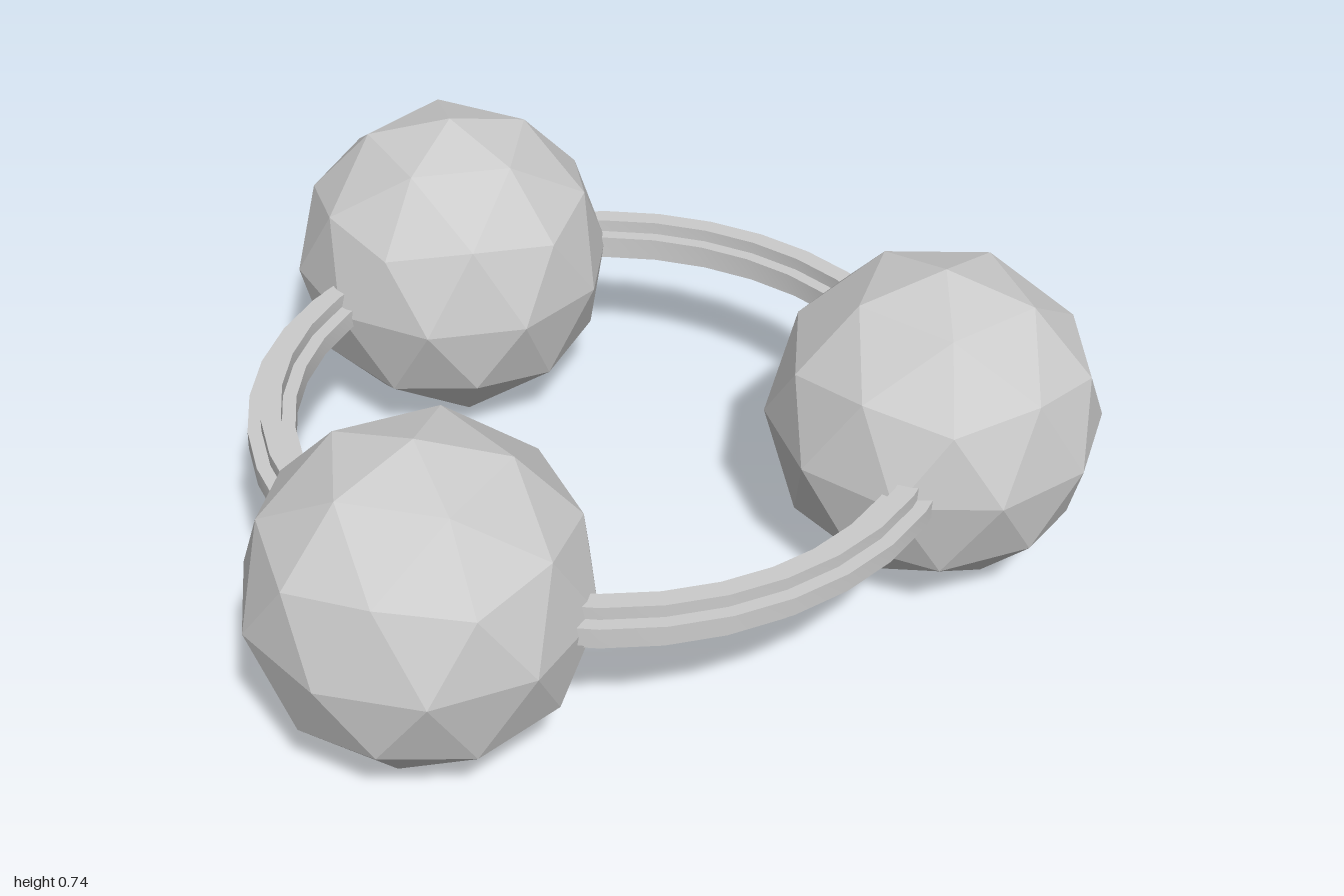
import * as THREE from 'three';
import { toCreasedNormals } from 'three/addons/utils/BufferGeometryUtils.js';

const BALL_RADIUS = 0.372;
const RING_RADIUS = 0.728;
const RING_Z = 0.155;

export function createModel() {
  const model = new THREE.Group();
  model.name = 'ballRing';

  // ring: plus-shaped section swept around a circle
  const a = 0.052; // half span of the plus
  const b = 0.022; // half width of its arms
  const section = [
    [b, -a], [b, -b], [a, -b], [a, b], [b, b], [b, a],
    [-b, a], [-b, b], [-a, b], [-a, -b], [-b, -b], [-b, -a], [b, -a],
  ].map(([x, y]) => new THREE.Vector2(RING_RADIUS + x, y));
  const ring = new THREE.Mesh(
    toCreasedNormals(new THREE.LatheGeometry(section, 36), 0.6),
    new THREE.MeshStandardMaterial({ color: 0xcccccc })
  );
  ring.name = 'ring';
  ring.position.set(0, BALL_RADIUS, RING_Z);
  model.add(ring);

  // faceted balls: icosphere tipped so that a corner points straight up
  const ballGeometry = new THREE.IcosahedronGeometry(BALL_RADIUS, 1);
  ballGeometry.rotateZ(-Math.atan(2 / (1 + Math.sqrt(5))));
  const ballMaterial = new THREE.MeshStandardMaterial({ color: 0xcccccc, flatShading: true });

  // three balls evenly spaced on the ring, each turned with its position
  ['backBall', 'leftBall', 'rightBall'].forEach((name, i) => {
    const angle = (-i * Math.PI * 2) / 3;
    const ball = new THREE.Mesh(ballGeometry, ballMaterial);
    ball.name = name;
    ball.rotation.y = angle;
    ball.position.set(
      -Math.sin(angle) * RING_RADIUS,
      BALL_RADIUS,
      RING_Z - Math.cos(angle) * RING_RADIUS
    );
    model.add(ball);
  });

  return model;
}
